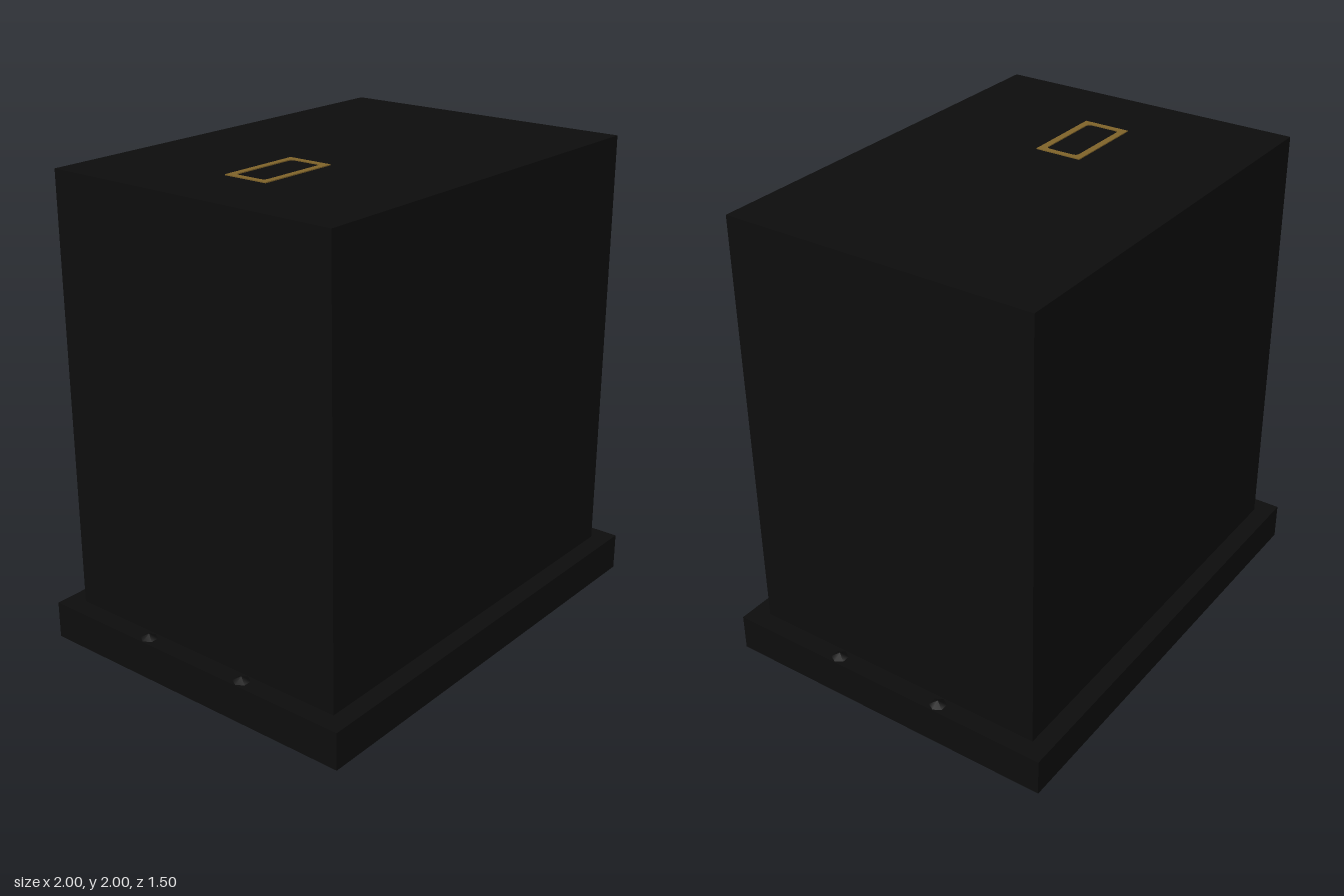
import * as THREE from 'three';

export function createModel() {
  const model = new THREE.Group();
  const black = new THREE.MeshStandardMaterial({ color: 0x0d0d0d });
  black.name = 'black';
  black.side = THREE.DoubleSide;
  const gold = new THREE.MeshStandardMaterial({ color: 0x80642a });
  gold.name = 'gold';

  const add = (name, geometry, material, x = 0, y = 0, z = 0) => {
    const mesh = new THREE.Mesh(geometry, material);
    mesh.name = name;
    mesh.position.set(x, y, z);
    model.add(mesh);
    return mesh;
  };

  // Tall body standing on the skirt deck
  const bodyBottom = 0.16, bodyTop = 1.996;
  add('body', new THREE.BoxGeometry(1.84, bodyTop - bodyBottom, 1.34), black, 0, (bodyTop + bodyBottom) / 2, 0);

  // Hollow skirt, open underneath: deck plus four thin walls
  add('skirtDeck', new THREE.PlaneGeometry(2, 1.5).rotateX(-Math.PI / 2), black, 0, bodyBottom, 0);
  for (const s of [-1, 1]) {
    add('skirtLongWall', new THREE.PlaneGeometry(2, bodyBottom).rotateY(s > 0 ? 0 : Math.PI), black, 0, bodyBottom / 2, s * 0.75);
    add('skirtShortWall', new THREE.PlaneGeometry(1.5, bodyBottom).rotateY(s * Math.PI / 2), black, s, bodyBottom / 2, 0);
    // Small pointed studs on the side ledges
    for (const z of [-0.25, 0.25]) {
      add('ledgeStud', new THREE.ConeGeometry(0.036, 0.02, 6).rotateY(Math.PI / 6), black, s * 0.96, bodyBottom + 0.01, z);
    }
  }

  // Slot frame: square outside, rounded opening
  const frame = new THREE.Shape();
  frame.moveTo(-0.183, -0.1).lineTo(0.183, -0.1).lineTo(0.183, 0.1).lineTo(-0.183, 0.1).closePath();
  const w = 0.158, h = 0.072, r = 0.02;
  const hole = new THREE.Path();
  hole.moveTo(-w + r, -h);
  hole.lineTo(w - r, -h).quadraticCurveTo(w, -h, w, -h + r);
  hole.lineTo(w, h - r).quadraticCurveTo(w, h, w - r, h);
  hole.lineTo(-w + r, h).quadraticCurveTo(-w, h, -w, h - r);
  hole.lineTo(-w, -h + r).quadraticCurveTo(-w, -h, -w + r, -h);
  frame.holes.push(hole);
  const frameGeometry = new THREE.ExtrudeGeometry(frame, { depth: 0.004, bevelEnabled: false, curveSegments: 4 });
  add('slotFrame', frameGeometry.rotateX(-Math.PI / 2), gold, -0.417, bodyTop, 0);

  return model;
}
